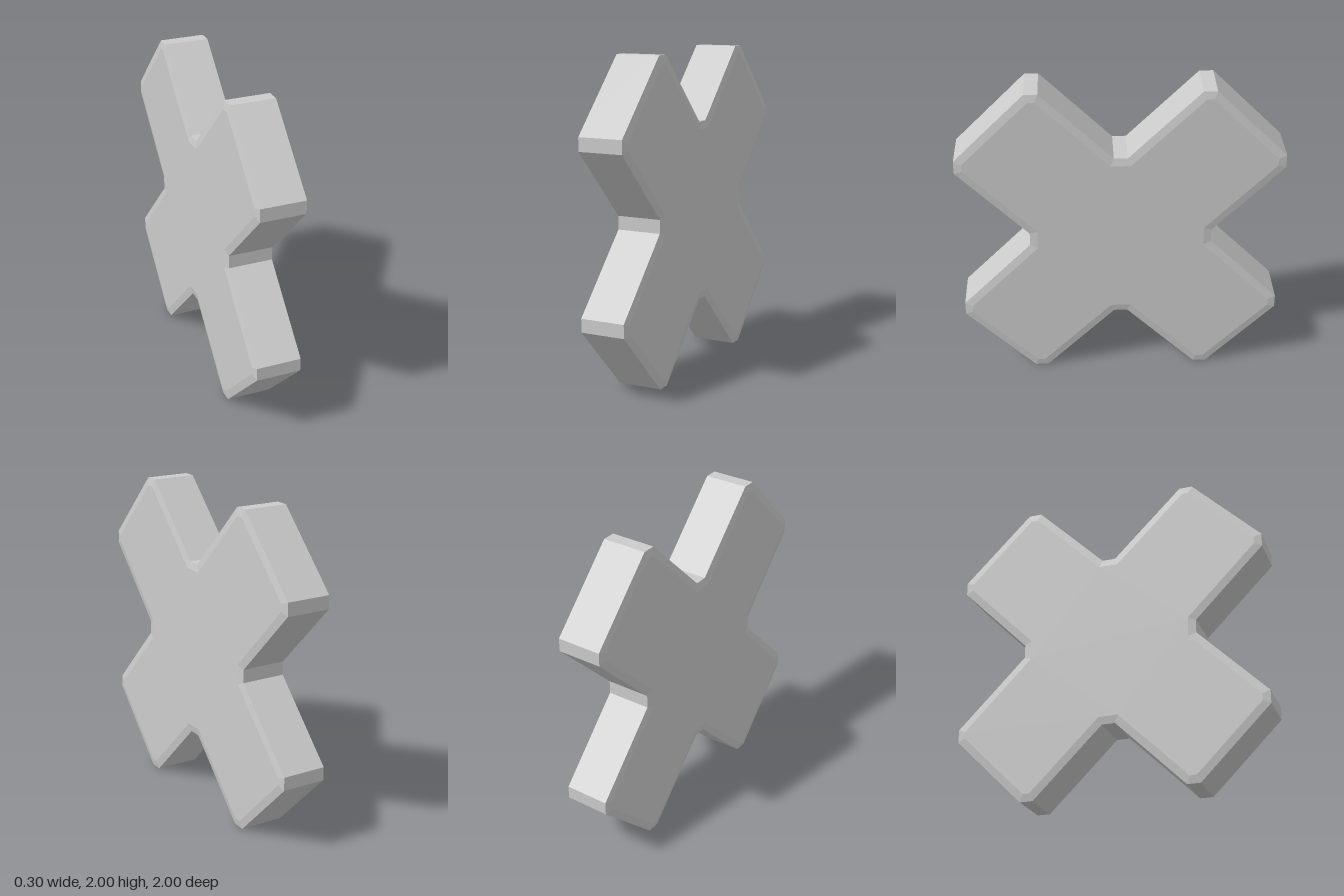
import * as THREE from 'three';

export function createModel() {
  const group = new THREE.Group();
  group.name = 'crossBlock';

  // One arm of the outline, repeated by quarter turns
  const arm = [[0.565, 0.042], [1, 0.482], [1, 0.565], [0.565, 1], [0.482, 1], [0.042, 0.565]];
  const points = [];
  for (let i = 0; i < 4; i++) {
    for (const [x, y] of arm) {
      points.push(new THREE.Vector2(x, y).rotateAround(new THREE.Vector2(), i * Math.PI / 2));
    }
  }

  // Thick plate with a wide, shallow bevel on both faces
  const wall = 0.28, bevel = 0.048;
  const geometry = new THREE.ExtrudeGeometry(new THREE.Shape(points), {
    depth: wall,
    bevelEnabled: true,
    bevelThickness: 0.01,
    bevelSize: bevel,
    bevelOffset: -bevel,
    bevelSegments: 1,
  });
  geometry.translate(0, 0, -wall / 2);
  geometry.rotateY(Math.PI / 2);
  geometry.translate(0, 1, 0);

  const cross = new THREE.Mesh(
    geometry,
    new THREE.MeshStandardMaterial({ color: 0xcccccc, flatShading: true })
  );
  cross.name = 'crossPlate';
  group.add(cross);
  return group;
}
